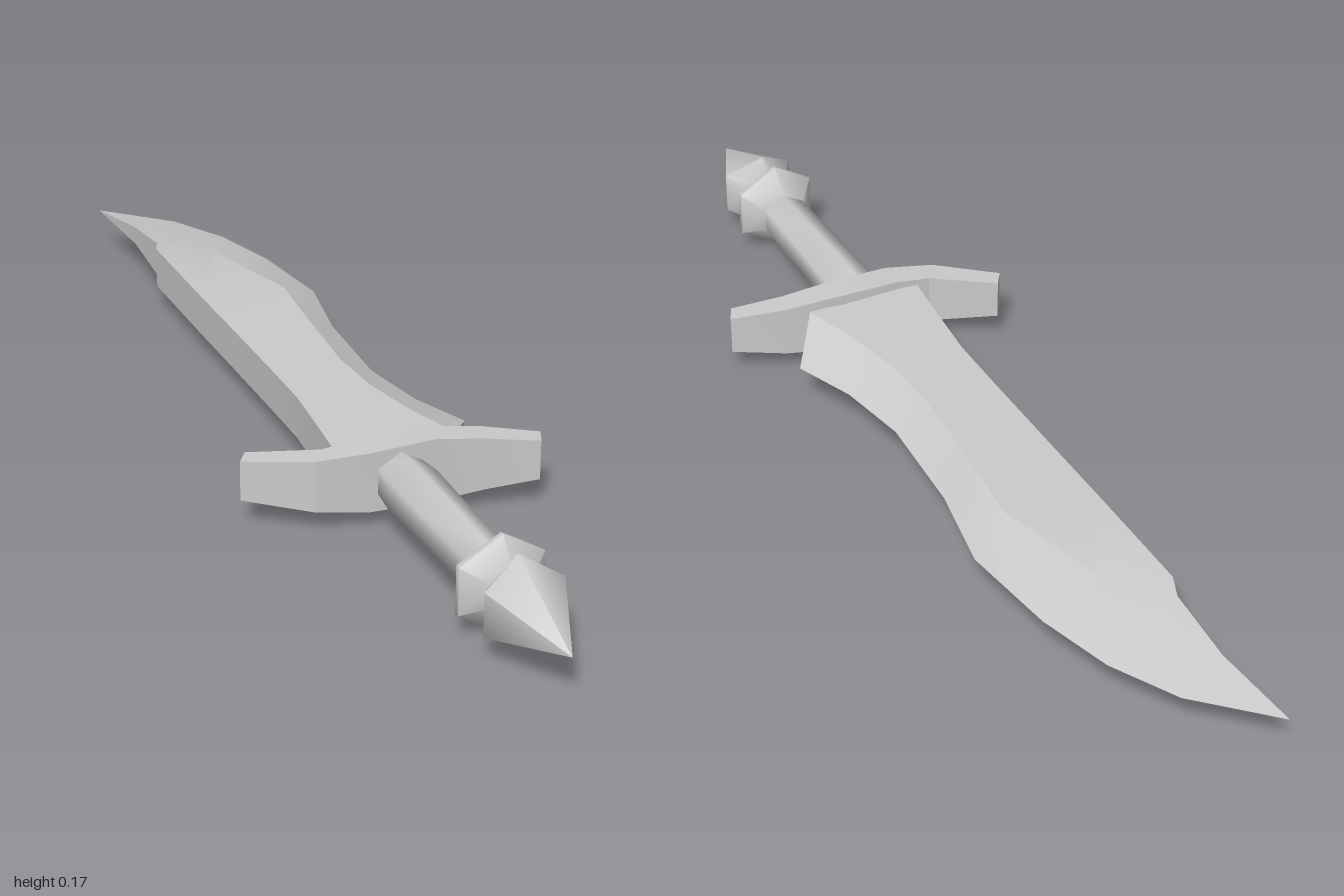
import * as THREE from 'three';
import { toCreasedNormals } from 'three/addons/utils/BufferGeometryUtils.js';

const Y = 0.09; // height of the weapon's middle plane
const material = new THREE.MeshStandardMaterial({ color: 0xcccccc });

// Skin a list of equal-length rings (clockwise when looking along the path) and cap both ends
function loft(rings, crease) {
  const pos = [];
  const tri = (a, b, c) => pos.push(...a, ...b, ...c);
  const n = rings[0].length;
  for (let i = 0; i < rings.length - 1; i++) {
    for (let j = 0; j < n; j++) {
      const k = (j + 1) % n;
      const [a, b, c, d] = [rings[i][j], rings[i][k], rings[i + 1][k], rings[i + 1][j]];
      tri(a, b, c);
      tri(a, c, d);
    }
  }
  const first = rings[0], last = rings[rings.length - 1];
  for (let j = 1; j < n - 1; j++) {
    tri(first[0], first[j + 1], first[j]);
    tri(last[0], last[j], last[j + 1]);
  }
  const geometry = new THREE.BufferGeometry();
  geometry.setAttribute('position', new THREE.Float32BufferAttribute(pos, 3));
  return toCreasedNormals(geometry, crease);
}

// Six-sided turned part along z, profile given as [radius, z]
function turned(profile, adjust) {
  const geometry = new THREE.LatheGeometry(profile.map(([r, z]) => new THREE.Vector2(r, z)), 6);
  geometry.rotateX(Math.PI / 2);
  if (adjust) adjust(geometry.attributes.position);
  geometry.translate(-0.003, Y, 0);
  return toCreasedNormals(geometry, 1.1);
}

export function createModel() {
  const group = new THREE.Group();
  const add = (name, geometry) => {
    const mesh = new THREE.Mesh(geometry, material);
    mesh.name = name;
    group.add(mesh);
  };

  // Blade: thick spine on the right, bevel ridge, sharp edge on the left
  // [spine x, z, half thickness, ridge x, z, half thickness, edge x, z]
  const stations = [
    [-0.10, 0.31, 0.04, 0.12, 0.31, 0.04, 0.12, 0.31],
    [-0.09, 0.20, 0.04, 0.085, 0.20, 0.04, 0.19, 0.205],
    [-0.08, 0.08, 0.04, 0.06, 0.08, 0.04, 0.145, 0.09],
    [-0.08, -0.04, 0.04, 0.053, -0.04, 0.04, 0.12, -0.05],
    [-0.082, -0.26, 0.04, 0.067, -0.24, 0.04, 0.13, -0.26],
    [-0.084, -0.42, 0.04, 0.08, -0.385, 0.04, 0.16, -0.43],
    [-0.085, -0.66, 0.04, 0.02, -0.60, 0.038, 0.135, -0.62],
    [-0.07, -0.70, 0.035, 0.0, -0.71, 0.025, 0.095, -0.76],
    [-0.07, -0.84, 0.018, -0.03, -0.85, 0.012, 0.03, -0.88],
    [-0.095, -1.0, 0, -0.095, -1.0, 0, -0.095, -1.0],
  ];
  add('blade', loft(stations.map(([sx, sz, sh, rx, rz, rh, ex, ez]) => [
    [sx, Y + sh, sz], [rx, Y + rh, rz], [ex, Y, ez], [rx, Y - rh, rz], [sx, Y - sh, sz],
  ]), 0.3));

  // Cross guard: swept bar, tapering to both ends
  // [back x, back z, front x, front z, half height]
  const bar = [
    [-0.24, 0.24, -0.26, 0.27, 0.037],
    [-0.125, 0.30, -0.15, 0.34, 0.048],
    [-0.06, 0.305, -0.06, 0.36, 0.056],
    [0.06, 0.305, 0.06, 0.36, 0.06],
    [0.165, 0.325, 0.15, 0.37, 0.049],
    [0.26, 0.36, 0.245, 0.393, 0.037],
  ];
  add('crossGuard', loft(bar.map(([bx, bz, fx, fz, h]) => [
    [bx, Y + h, bz], [fx, Y + h, fz], [fx, Y - h, fz], [bx, Y - h, bz],
  ]), 0.3));

  // Grip
  add('grip', turned([[0, 0.33], [0.045, 0.33], [0.053, 0.41], [0.05, 0.53], [0.046, 0.71], [0, 0.71]]));

  // Collar
  add('pommelCollar', turned([[0, 0.70], [0.046, 0.70], [0.087, 0.742], [0.087, 0.752], [0.038, 0.787], [0, 0.787]]));

  // Pointed pommel; the side corners of its widest ring sit further forward
  add('pommel', turned([[0, 0.78], [0.038, 0.78], [0.08, 0.803], [0, 0.995]], (p) => {
    for (let i = 0; i < p.count; i++) {
      if (Math.abs(p.getX(i)) > 0.06) p.setZ(i, 0.832);
    }
  }));

  return group;
}
